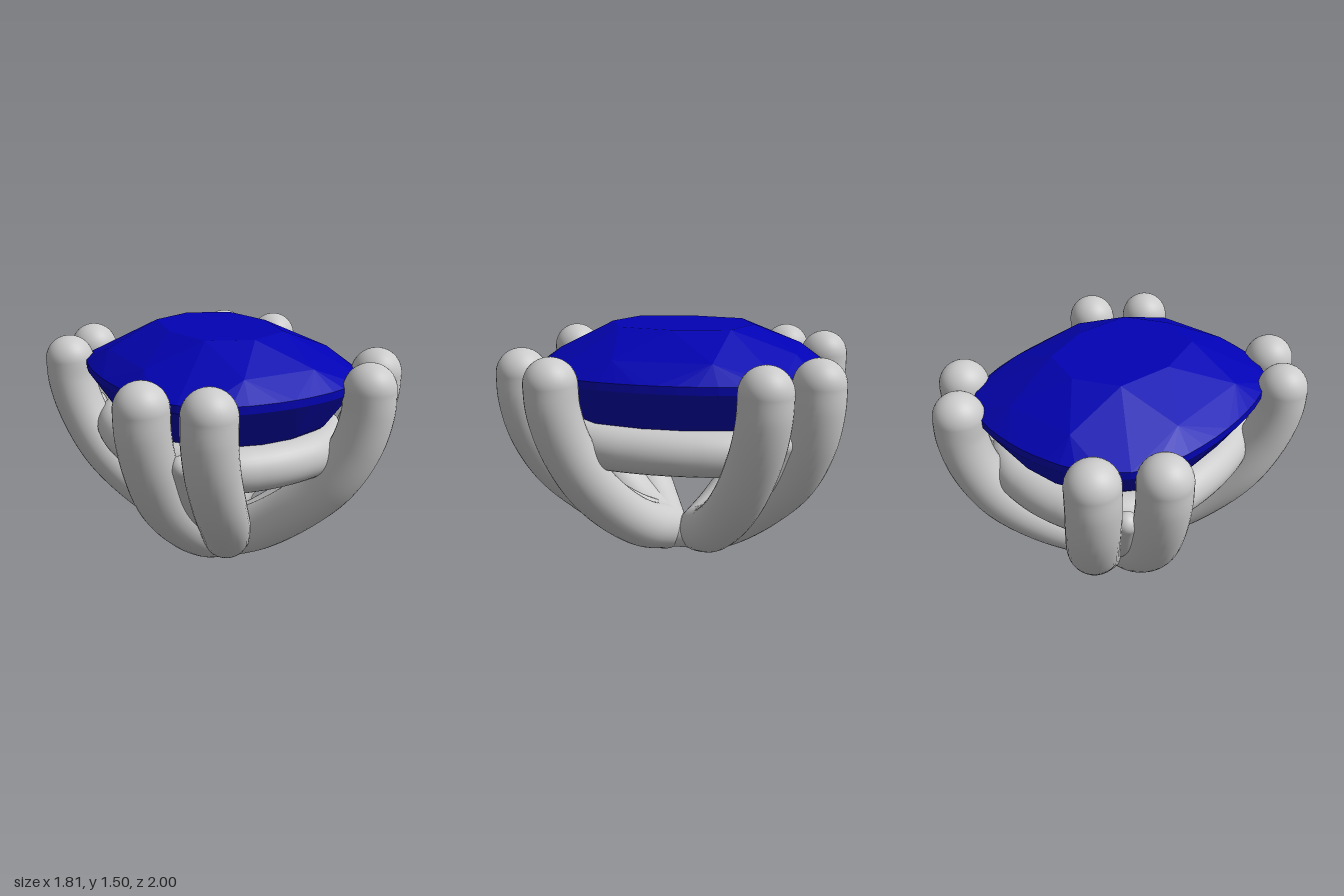
import * as THREE from 'three';
import { ConvexGeometry } from 'three/addons/geometries/ConvexGeometry.js';

const metal = new THREE.MeshStandardMaterial({ color: 0xcccccc });
const gem = new THREE.MeshStandardMaterial({ color: 0x0202b4, flatShading: true });

// Cushion outline at unit half-width and half-depth: bowed sides, rounded corners
const quarter = [[1, 0], [0.983, 0.255], [0.927, 0.51], [0.785, 0.755], [0.468, 0.937], [0.235, 0.984]];
const outline = new THREE.CatmullRomCurve3([
  ...quarter.map(([x, z]) => [x, z]),
  [0, 1], ...quarter.slice(1).reverse().map(([x, z]) => [-x, z]),
  ...quarter.map(([x, z]) => [-x, -z]),
  [0, -1], ...quarter.slice(1).reverse().map(([x, z]) => [x, -z]),
].map(([x, z]) => new THREE.Vector3(x, 0, z)), true);

// Level ring of points on the cushion outline
function ring(count, halfWidth, halfDepth, y, offset = 0) {
  return Array.from({ length: count }, (_, i) => {
    const p = outline.getPoint((i + offset) / count);
    return new THREE.Vector3(p.x * halfWidth, y, p.z * halfDepth);
  });
}

// Round bar along a smooth path, closed by a ball at each end
function bar(name, points, radius) {
  const group = new THREE.Group();
  group.name = name;
  const curve = new THREE.CatmullRomCurve3(points, false, 'centripetal');
  group.add(new THREE.Mesh(new THREE.TubeGeometry(curve, 48, radius, 32), metal));
  for (const end of [points[0], points[points.length - 1]]) {
    const ball = new THREE.Mesh(new THREE.SphereGeometry(radius, 32, 20), metal);
    ball.position.copy(end);
    group.add(ball);
  }
  return group;
}

// Prong centre lines from tip to base, for the +x +z corner
const endProng = [[0.5, 1.25, 0.85], [0.5, 1.12, 0.848], [0.465, 0.92, 0.815], [0.375, 0.68, 0.72],
  [0.25, 0.465, 0.55], [0.115, 0.265, 0.32], [0, 0.15, 0.12]];
const sideProng = [[0.755, 1.25, 0.585], [0.75, 1.12, 0.58], [0.705, 0.92, 0.545], [0.595, 0.66, 0.46],
  [0.415, 0.43, 0.35], [0.2, 0.245, 0.22], [0, 0.15, 0.12]];

// Web midway between the two prongs, set slightly inward
const web = endProng.slice(2).map(([x, y, z], i) => {
  const [u, v, w] = sideProng[i + 2];
  return [(x + u) * 0.485, (y + v) / 2, (z + w) * 0.485];
});

export function createModel() {
  const model = new THREE.Group();

  // Four pairs of prongs, each joined by a web lower down
  for (const sx of [1, -1]) {
    for (const sz of [1, -1]) {
      const place = (path) => path.map(([x, y, z]) => new THREE.Vector3(x * sx, y, z * sz));
      model.add(bar('endProng', place(endProng), 0.15));
      model.add(bar('sideProng', place(sideProng), 0.15));
      model.add(bar('prongWeb', place(web), 0.065));
    }
  }

  // Short bar joining the prong bases
  model.add(bar('baseBar', [-0.12, 0, 0.12].map((z) => new THREE.Vector3(0, 0.13, z)), 0.112));

  // Cushion-shaped rail under the stone
  const railPath = new THREE.CatmullRomCurve3(ring(48, 0.58, 0.695, 0.845), true);
  const rail = new THREE.Mesh(new THREE.TubeGeometry(railPath, 128, 0.133, 32, true), metal);
  rail.name = 'rail';
  model.add(rail);

  // Faceted stone: table, crown, girdle, pavilion and pointed base
  const stone = new THREE.Mesh(new ConvexGeometry([
    ...ring(8, 0.33, 0.44, 1.5),
    ...ring(8, 0.63, 0.73, 1.365, 0.5),
    ...ring(48, 0.75, 0.865, 1.265),
    ...ring(48, 0.75, 0.865, 1.22),
    ...ring(16, 0.61, 0.73, 1.0, 0.5),
    ...ring(8, 0.39, 0.49, 0.8),
    ...ring(8, 0.15, 0.19, 0.63, 0.5),
    new THREE.Vector3(0, 0.565, 0),
  ]), gem);
  stone.name = 'stone';
  model.add(stone);

  return model;
}
